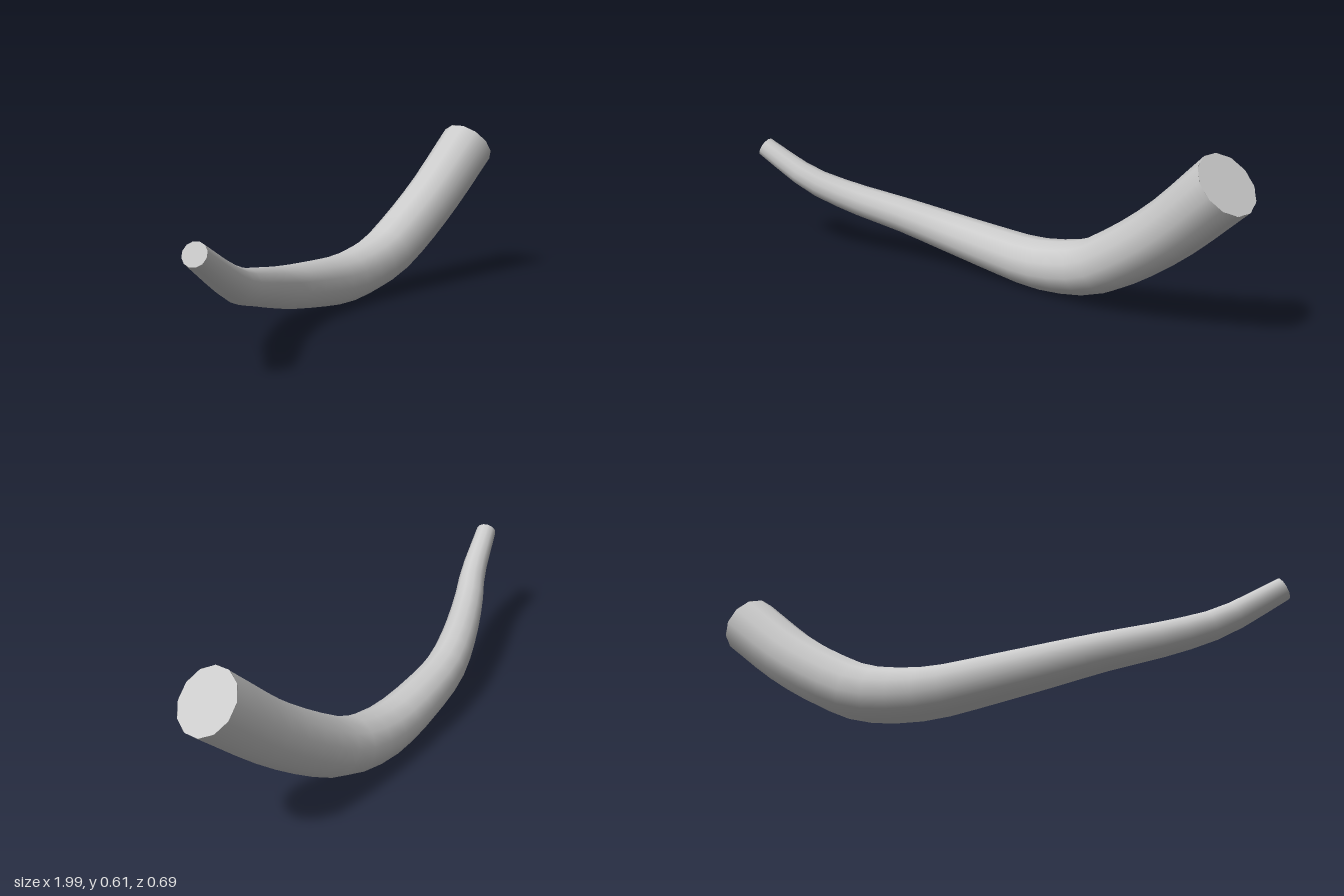
import * as THREE from 'three';

// Centre line and radius: x, y, z, r from thin tip to thick end
const SECTIONS = [
  [-0.975, 0.382, 0.305, 0.039],
  [-0.79, 0.276, 0.215, 0.049],
  [-0.66, 0.222, 0.127, 0.057],
  [-0.45, 0.168, 0.0, 0.066],
  [-0.28, 0.13, -0.08, 0.075],
  [-0.1, 0.106, -0.133, 0.083],
  [0.1, 0.091, -0.176, 0.091],
  [0.23, 0.103, -0.198, 0.095],
  [0.37, 0.138, -0.214, 0.099],
  [0.49, 0.2, -0.223, 0.102],
  [0.69, 0.335, -0.234, 0.104],
  [0.92, 0.532, -0.24, 0.109],
];
const SIDES = 12;
const RINGS = 24;

// Radius between sections
function radiusAt(t) {
  const f = t * (SECTIONS.length - 1);
  const i = Math.min(Math.floor(f), SECTIONS.length - 2);
  return THREE.MathUtils.lerp(SECTIONS[i][3], SECTIONS[i + 1][3], f - i);
}

// Flat disc closing the tube, facing along the given direction
function endCap(name, centre, direction, radius, material) {
  const cap = new THREE.Mesh(new THREE.CircleGeometry(radius, SIDES), material);
  cap.name = name;
  cap.position.copy(centre);
  cap.quaternion.setFromUnitVectors(new THREE.Vector3(0, 0, 1), direction);
  return cap;
}

export function createModel() {
  const group = new THREE.Group();
  group.name = 'curvedHorn';
  const material = new THREE.MeshStandardMaterial({ color: 0xcccccc, side: THREE.DoubleSide });
  const curve = new THREE.CatmullRomCurve3(SECTIONS.map(([x, y, z]) => new THREE.Vector3(x, y, z)));

  // Tapered body: a unit tube whose rings are scaled to the local radius
  const geometry = new THREE.TubeGeometry(curve, RINGS, 1, SIDES, false);
  const position = geometry.attributes.position;
  const normal = geometry.attributes.normal;
  const offset = new THREE.Vector3();
  for (let i = 0; i <= RINGS; i++) {
    const u = i / RINGS;
    const centre = curve.getPointAt(u);
    const radius = radiusAt(curve.getUtoTmapping(u));
    for (let j = 0; j <= SIDES; j++) {
      const k = i * (SIDES + 1) + j;
      offset.fromBufferAttribute(normal, k).multiplyScalar(radius).add(centre);
      position.setXYZ(k, offset.x, offset.y, offset.z);
    }
  }
  const body = new THREE.Mesh(geometry, material);
  body.name = 'taperedBody';
  group.add(body);

  // Flat ends
  group.add(
    endCap('tipCap', curve.getPointAt(0), curve.getTangentAt(0).negate(), radiusAt(0), material),
    endCap('baseCap', curve.getPointAt(1), curve.getTangentAt(1), radiusAt(1), material),
  );
  return group;
}
